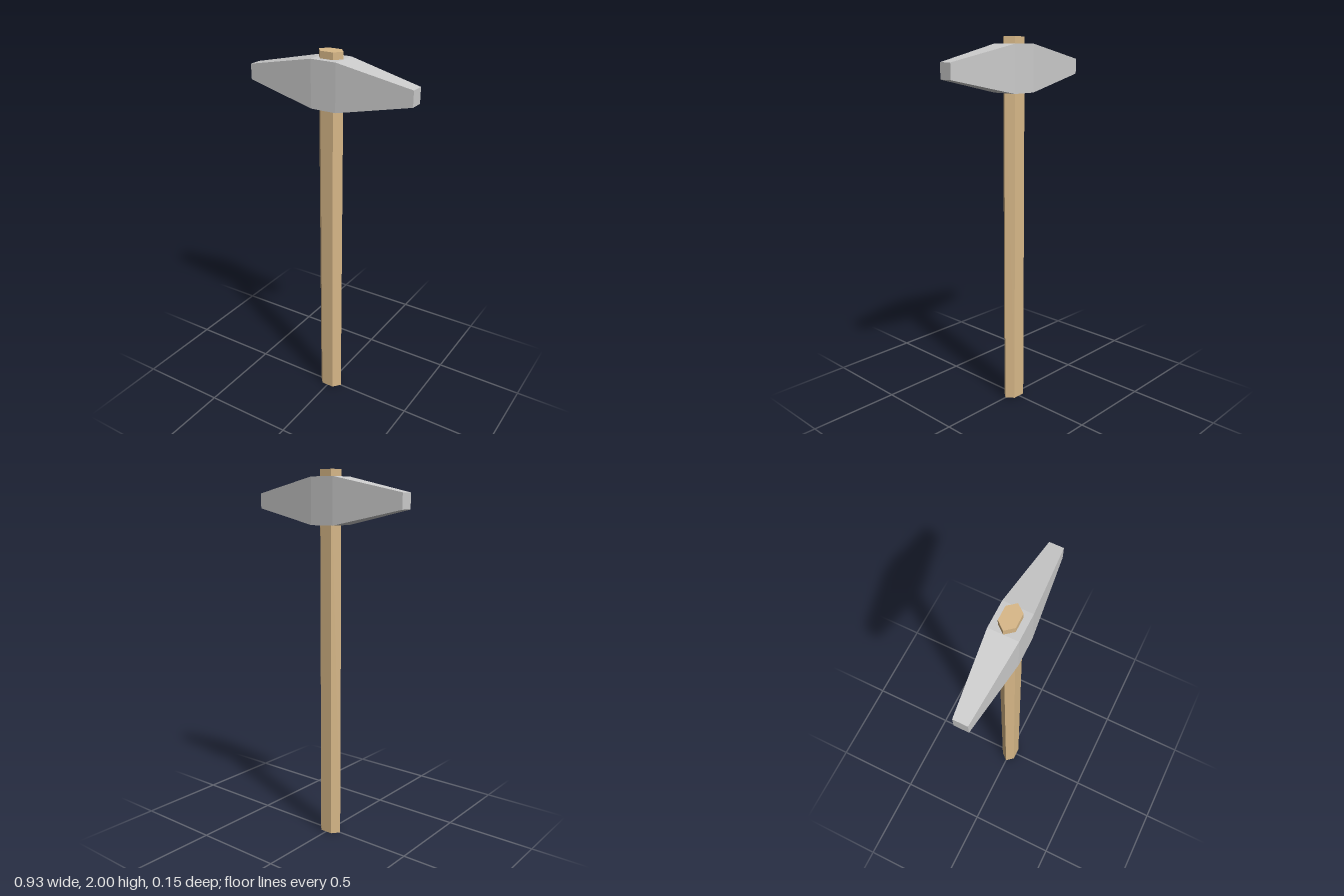
import * as THREE from 'three';

export function createModel() {
  const model = new THREE.Group();

  // Handle: hexagonal shaft running right through the head
  const hexagon = new THREE.Shape([
    [0.07, 0], [0.036, 0.041], [-0.036, 0.041],
    [-0.07, 0], [-0.036, -0.041], [0.036, -0.041],
  ].map(([x, y]) => new THREE.Vector2(x, y)));
  const handleGeometry = new THREE.ExtrudeGeometry(hexagon, { depth: 2, bevelEnabled: false });
  handleGeometry.rotateX(-Math.PI / 2);
  const handle = new THREE.Mesh(
    handleGeometry,
    new THREE.MeshStandardMaterial({ color: 0xd8b888, flatShading: true })
  );
  handle.name = 'handle';
  model.add(handle);

  // Head: block with a straight middle, tapering to both striking ends
  const headGeometry = new THREE.BoxGeometry(2, 2, 2, 3, 1, 1);
  const p = headGeometry.attributes.position;
  for (let i = 0; i < p.count; i++) {
    const isEnd = Math.abs(p.getX(i)) > 0.9;
    const [x, y, z] = isEnd ? [0.463, 0.04, 0.036] : [0.07, 0.122, 0.073];
    p.setXYZ(i, Math.sign(p.getX(i)) * x, p.getY(i) * y, p.getZ(i) * z);
  }
  const flatHead = headGeometry.toNonIndexed();
  flatHead.computeVertexNormals();
  const head = new THREE.Mesh(
    flatHead,
    new THREE.MeshStandardMaterial({ color: 0xcccccc, flatShading: true })
  );
  head.name = 'head';
  head.position.y = 1.842;
  model.add(head);

  return model;
}
